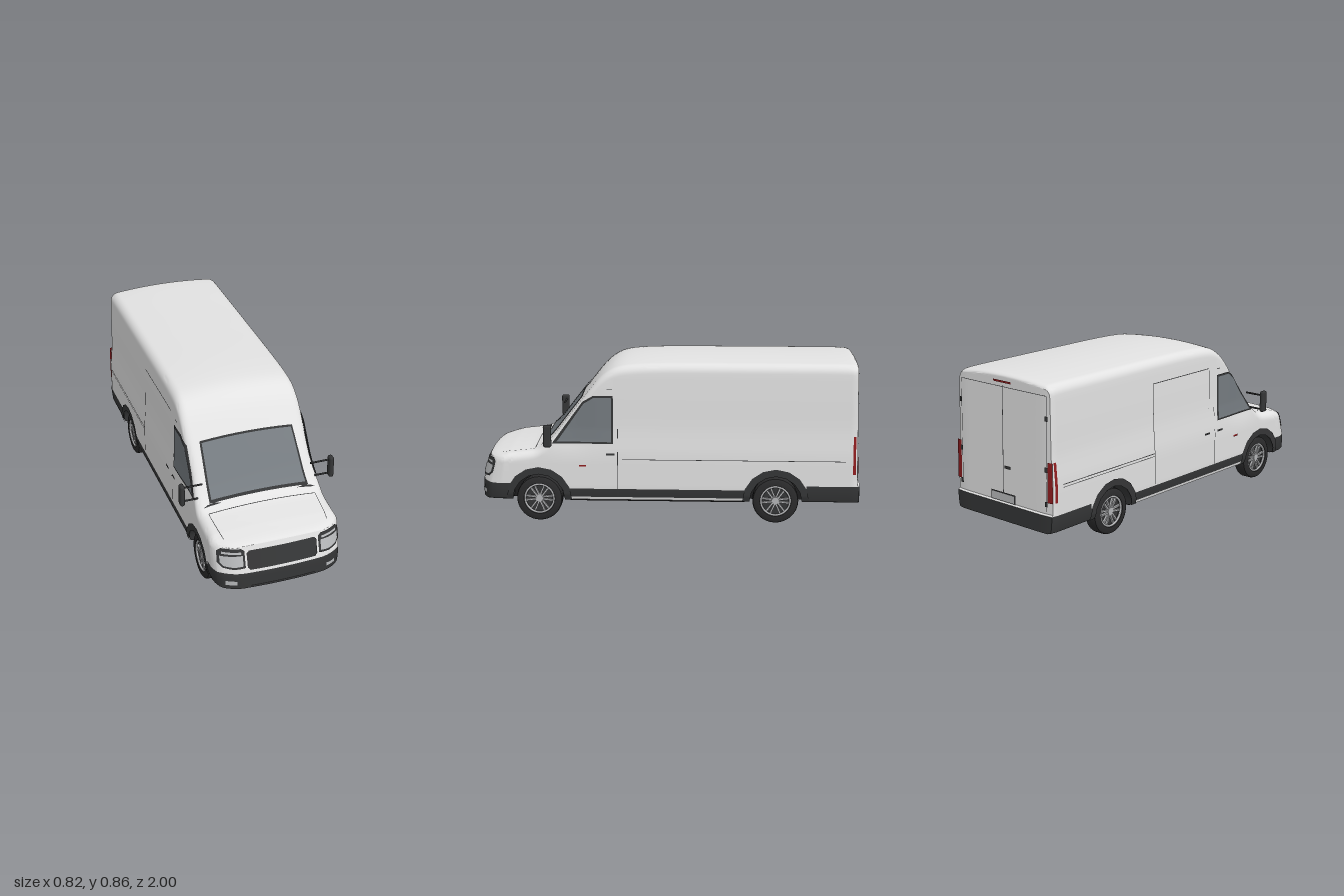
import * as THREE from 'three';
import { toCreasedNormals } from 'three/addons/utils/BufferGeometryUtils.js';
import { RoundedBoxGeometry } from 'three/addons/geometries/RoundedBoxGeometry.js';

const mat = (name, color, side = THREE.DoubleSide) => {
  const m = new THREE.MeshStandardMaterial({ color, side });
  m.name = name;
  return m;
};
const paint = mat('body white', 0xe2e2e2, THREE.FrontSide);
const trim = mat('black trim', 0x353637);
const glass = mat('tinted glass', 0x757b80);
const lens = mat('lamp lens', 0xb8babc);
const red = mat('red lamp', 0x8e1c1e);
const rubber = mat('tyre rubber', 0x2b2b2c);
const alloy = mat('wheel alloy', 0xb4b5b7);
const under = mat('underbody', 0x1d1d1e);

const WHEELS = [0.68, -0.56], AXLE = 0.12, ARCH = 0.145;
const clamp = THREE.MathUtils.clamp;
const lerp = (pts, v) => {
  // piecewise linear lookup, first column descending
  if (v >= pts[0][0]) return pts[0][1];
  for (let i = 1; i < pts.length; i++) {
    const [a, p] = pts[i - 1], [b, q] = pts[i];
    if (v >= b) return p + (q - p) * (a - v) / Math.max(1e-9, a - b);
  }
  return pts[pts.length - 1][1];
};

// Centre-line height of bonnet, windscreen and roof
const ROOF = new THREE.SplineCurve([
  [1, 0.343], [0.985, 0.35], [0.95, 0.358], [0.88, 0.368], [0.78, 0.382], [0.7, 0.396], [0.655, 0.42],
  [0.6, 0.475], [0.53, 0.565], [0.455, 0.66], [0.38, 0.755], [0.33, 0.803], [0.27, 0.835], [0.18, 0.85],
  [0, 0.857], [-0.3, 0.858], [-0.6, 0.858], [-0.8, 0.858], [-0.9, 0.857], [-0.96, 0.854], [-0.985, 0.848], [-1, 0.838],
].map(p => new THREE.Vector2(...p))).getPoints(200).map(p => [p.x, p.y]);
const topZ = z => lerp(ROOF, z);
const crown = z => lerp([[1, 0.008], [0.7, 0.015]], z);
const radius = z => lerp([[1, 0.03], [0.8, 0.045], [0.4, 0.045], [0.2, 0.05], [-0.97, 0.05], [-1, 0.035]], z);
const shoulder = z => topZ(z) - crown(z) - radius(z);
const wide = z => lerp([[1, 0.321], [0.97, 0.332], [0.92, 0.338], [-0.96, 0.338], [-1, 0.332]], z);
const flank = (y, z) => wide(z)
  - lerp([[0.85, 0.02], [0.66, 0.014], [0.5, 0.012], [0.36, 0], [0.15, 0], [0.11, 0.012]], y)
  - 0.008 * Math.exp(-(((z - 0.52) / 0.12) ** 2)) * clamp((y - 0.36) / 0.08, 0, 1);
const sideX = (y, z) => {
  const s = shoulder(z), r = radius(z);
  if (y <= s) return flank(y, z);
  return flank(s, z) - r + Math.sqrt(Math.max(0, r * r - (y - s) ** 2));
};
const topY = (x, z) => topZ(z) - crown(z) * (x / (flank(shoulder(z), z) - radius(z))) ** 2;

// Rounds the nose and tail in plan and leans them back
const bend = (x, y, z) => {
  const ax = Math.abs(x);
  if (z > 0.84) z -= (z - 0.84) / 0.16 * (0.2 * x * x + 3 * Math.max(0, ax - 0.2) ** 2 + 0.3 * Math.max(0, y - 0.2));
  if (z < -0.95) z += (-z - 0.95) / 0.05 * ((y > 0.208 ? 0.01 : 0) + 0.02 * Math.max(0, y - 0.2) + Math.max(0, ax - 0.25) ** 2);
  return [x, y, z];
};
const onSide = (s, e = 0.005) => (z, y) => {
  const p = bend(sideX(y, z), y, z);
  return [s * (p[0] + e), p[1], p[2]];
};
const onTop = (e = 0.005) => (x, z) => bend(x, topY(x, z) + e, z);
const onFront = (e = 0.004) => (x, y) => { const p = bend(x, y, 1); p[2] += e; return p; };
const onRear = (e = 0.004) => (x, y) => { const p = bend(x, y, -1); p[2] -= e; return p; };

// Half outline of the body at z, from bottom centre to roof centre
const LEVELS = [0.12, 0.135, 0.18, 0.205, 0.212, 0.26, 0.31, 0.36, 0.4, 0.44, 0.48, 0.52, 0.58, 0.64, 0.7, 0.76, 0.85];
function halfSection(z) {
  let yb = 0.115;
  for (const c of WHEELS) {
    const d = ARCH * ARCH - (z - c) ** 2;
    if (d > 0) yb = Math.max(yb, AXLE + Math.sqrt(d));
  }
  const s = shoulder(z), r = radius(z), xs = flank(s, z), xe = xs - r;
  const pts = [[0, yb], [0.12, yb], [flank(yb, z) - 0.015, yb]];
  for (const l of LEVELS) { const y = clamp(l, yb, s); pts.push([flank(y, z), y]); }
  for (let k = 1; k <= 7; k++) {
    const a = k / 7 * Math.PI / 2;
    pts.push([xe + r * Math.cos(a), s + r * Math.sin(a)]);
  }
  for (let k = 7; k >= 0; k--) pts.push([xe * k / 8, topY(xe * k / 8, z)]);
  return pts;
}

function bodyShell() {
  let zs = [0.83, -0.72, 0.99, 0.995, -0.99];
  for (let i = 0; i <= 100; i++) zs.push(-1 + i * 0.02);
  for (const c of WHEELS) for (let k = 0; k <= 20; k++) zs.push(c + ARCH * Math.cos(k * Math.PI / 20));
  zs = zs.sort((a, b) => a - b).filter((z, i, all) => i === 0 || z - all[i - 1] > 1e-4);
  const pos = [], light = [], dark = [];
  const isDark = (y, z) => (z > 0.83 && y < 0.205) || (z < -0.72 && y < 0.208) || y < 0.12 || (y > 0.135 && y < 0.18);
  const grid = (rows, flip, rule) => {
    const base = pos.length / 3, n = rows[0].length;
    rows.forEach(r => r.forEach(p => pos.push(...p)));
    for (let j = 0; j + 1 < rows.length; j++) for (let i = 0; i + 1 < n; i++) {
      const a = base + j * n + i, b = a + 1, d = a + n, c = d + 1;
      const y = (rows[j][i][1] + rows[j + 1][i + 1][1]) / 2, z = (rows[j][i][2] + rows[j + 1][i + 1][2]) / 2;
      (rule(i, y, z) ? dark : light).push(...(flip ? [a, c, b, a, d, c] : [a, b, c, a, c, d]));
    }
  };
  const rings = zs.map(z => {
    const h = halfSection(z);
    return [...h, ...h.slice(0, -1).reverse().map(([x, y]) => [-x, y])].map(([x, y]) => bend(x, y, z));
  });
  const n = rings[0].length;
  grid(rings, false, (i, y, z) => i < 3 || i >= n - 4 || isDark(y, z));
  for (const z of [1, -1]) {
    const rows = halfSection(z).map(([x, y]) => Array.from({ length: 25 }, (_, k) => bend(x * (k / 12 - 1), y, z)));
    grid(rows, z < 0, (i, y) => isDark(y, z));
  }
  const g = new THREE.BufferGeometry();
  g.setAttribute('position', new THREE.Float32BufferAttribute(pos, 3));
  g.setIndex([...light, ...dark]);
  g.addGroup(0, light.length, 0);
  g.addGroup(light.length, dark.length, 1);
  return toCreasedNormals(g, 0.7);
}

// Thin plate ruled between two polylines and laid on the body
function plate(name, material, lower, upper, project, rows = 8) {
  const fine = line => line.slice(1).flatMap((q, i) => Array.from({ length: 8 }, (_, k) =>
    [0, 1].map(c => line[i][c] + (q[c] - line[i][c]) * k / 8))).concat([line[line.length - 1]]);
  const a = fine(lower), b = fine(upper), n = a.length, pos = [], idx = [];
  for (let j = 0; j <= rows; j++) a.forEach((p, i) =>
    pos.push(...project(...[0, 1].map(c => p[c] + (b[i][c] - p[c]) * j / rows))));
  for (let j = 0; j < rows; j++) for (let i = 0; i + 1 < n; i++) {
    const k = j * n + i;
    idx.push(k, k + 1, k + n + 1, k, k + n + 1, k + n);
  }
  const g = new THREE.BufferGeometry();
  g.setAttribute('position', new THREE.Float32BufferAttribute(pos, 3));
  g.setIndex(idx);
  g.computeVertexNormals();
  const m = new THREE.Mesh(g, material);
  m.name = name;
  return m;
}
const rect = (name, material, u0, v0, u1, v1, project) =>
  plate(name, material, [[u0, v0], [u1, v0]], [[u0, v1], [u1, v1]], project);

function solid(name, geo, material, x = 0, y = 0, z = 0) {
  const m = new THREE.Mesh(geo, material);
  m.name = name;
  m.position.set(x, y, z);
  return m;
}

function wheel(side, z) {
  const g = new THREE.Group();
  g.name = 'wheel';
  const profile = [[0.076, -0.037], [0.108, -0.037], [0.117, -0.031], [0.12, -0.022], [0.12, 0.022], [0.117, 0.031], [0.108, 0.037], [0.082, 0.037], [0.076, 0.015]];
  g.add(solid('tyre', toCreasedNormals(new THREE.LatheGeometry(profile.map(p => new THREE.Vector2(...p)), 40), 0.6), rubber));
  g.add(solid('wheelDish', new THREE.CylinderGeometry(0.079, 0.079, 0.05, 32), trim, 0, -0.008));
  const rim = solid('rim', new THREE.TorusGeometry(0.076, 0.006, 8, 40), alloy, 0, 0.031);
  rim.rotation.x = Math.PI / 2;
  g.add(rim, solid('hub', new THREE.CylinderGeometry(0.02, 0.024, 0.018, 20), alloy, 0, 0.023));
  for (let k = 0; k < 6; k++) {
    const spoke = new THREE.Group();
    spoke.name = 'spoke';
    for (const s of [-1, 1]) {
      const bar = solid('spokeBar', new THREE.BoxGeometry(0.009, 0.012, 0.064), alloy, s * 0.009, 0.023, 0.044);
      bar.rotation.y = s * 0.12;
      spoke.add(bar);
    }
    spoke.rotation.y = k * Math.PI / 3;
    g.add(spoke);
  }
  g.rotation.z = -side * Math.PI / 2;
  g.position.set(side * 0.288, AXLE, z);
  return g;
}

export function createModel() {
  const van = new THREE.Group();
  van.name = 'van';
  van.add(solid('bodyShell', bodyShell(), [paint, trim]));
  van.add(solid('underbody', new THREE.BoxGeometry(0.48, 0.17, 1.86), under, 0, 0.193, 0));
  van.add(solid('floorPan', new THREE.BoxGeometry(0.6, 0.01, 0.92), under, 0, 0.111, 0.06));

  // Windscreen, bonnet seams and grille
  van.add(plate('windscreenFrame', trim, [[-0.265, 0.655], [0.265, 0.655]], [[-0.25, 0.452], [0.25, 0.452]], onTop(0.005), 24));
  van.add(plate('windscreen', glass, [[-0.253, 0.645], [0.253, 0.645]], [[-0.241, 0.461], [0.241, 0.461]], onTop(0.009), 24));
  van.add(rect('bonnetSeam', trim, -0.285, 0.702, 0.285, 0.698, onTop(0.003)));
  van.add(plate('grille', trim, [[-0.183, 0.237], [-0.17, 0.223], [0.17, 0.223], [0.183, 0.237]],
    [[-0.183, 0.308], [-0.17, 0.32], [0.17, 0.32], [0.183, 0.308]], onFront(0.006)));
  van.add(rect('lowerIntake', under, -0.17, 0.128, 0.17, 0.133, onFront()));

  for (const s of [1, -1]) {
    // Front lamps
    const front = e => (x, y) => { const p = onFront(e)(x, y); return [s * p[0], p[1], p[2]]; };
    van.add(plate('headlampHousing', trim, [[0.193, 0.236], [0.25, 0.23], [0.3, 0.236], [0.322, 0.26]],
      [[0.193, 0.322], [0.21, 0.333], [0.3, 0.334], [0.319, 0.318]], front(0.006)));
    van.add(plate('headlampLens', lens, [[0.204, 0.247], [0.25, 0.242], [0.295, 0.246], [0.31, 0.262]],
      [[0.204, 0.3], [0.25, 0.298], [0.295, 0.296], [0.31, 0.296]], front(0.009)));
    van.add(rect('daytimeLamp', lens, 0.21, 0.307, 0.3, 0.318, front(0.009)));
    van.add(rect('fogLamp', lens, 0.235, 0.14, 0.29, 0.164, front(0.005)));
    van.add(plate('wiper', trim, [[s * 0.2, 0.664], [s * 0.3, 0.668]], [[s * 0.24, 0.656], [s * 0.28, 0.66]], onTop(0.007)));
    van.add(plate('bonnetSideSeam', trim, [[s * 0.284, 0.7], [s * 0.27, 0.93]], [[s * 0.287, 0.7], [s * 0.273, 0.93]], onTop(0.002)));

    // Side window and door details
    van.add(plate('sideWindowFrame', trim, [[0.605, 0.422], [0.5, 0.422], [0.39, 0.422], [0.287, 0.422]],
      [[0.6, 0.432], [0.445, 0.642], [0.39, 0.674], [0.287, 0.674]], onSide(s, 0.006), 20));
    van.add(plate('sideWindow', glass, [[0.583, 0.432], [0.5, 0.432], [0.39, 0.432], [0.297, 0.432]],
      [[0.575, 0.44], [0.44, 0.632], [0.388, 0.664], [0.297, 0.664]], onSide(s, 0.01), 20));
    const line = (name, z0, y0, z1, y1, m = trim, e = 0.003) => van.add(rect(name, m, z0, y0, z1, y1, onSide(s, e)));
    line('doorRearSeam', 0.262, 0.14, 0.266, 0.38);
    line('doorRearSeam', 0.262, 0.45, 0.266, 0.5);
    line('doorTopSeam', 0.29, 0.705, 0.32, 0.709);
    line('doorHandle', 0.28, 0.362, 0.325, 0.372, trim, 0.007);
    line('sideMarker', 0.43, 0.3, 0.465, 0.31, red, 0.005);
    line('flankCrease', -0.92, 0.338, s > 0 ? 0.24 : -0.24, 0.341);
    line('tailLampSide', -0.985, 0.27, -0.962, 0.47, red);
    if (s < 0) {
      // Sliding door on one side only
      line('slidingDoorRail', -0.92, 0.352, -0.24, 0.356);
      line('slidingDoorSeam', -0.242, 0.19, -0.238, 0.72);
      line('slidingDoorTop', -0.24, 0.718, 0.22, 0.722);
      line('slidingDoorSeam', 0.22, 0.5, 0.224, 0.72);
      line('slidingDoorHandle', 0.17, 0.362, 0.215, 0.372, trim, 0.007);
    }

    // Wheels and arch flares
    for (const c of WHEELS) {
      const arc = r => Array.from({ length: 9 }, (_, k) => [c + r * Math.cos(k * Math.PI / 8), AXLE + r * Math.sin(k * Math.PI / 8)]);
      van.add(plate('archFlare', trim, arc(0.137), arc(0.175), onSide(s, 0.006), 4));
      van.add(wheel(s, c));
    }

    // Door mirror on two arms
    const mirror = new THREE.Group();
    mirror.name = 'mirror';
    mirror.add(solid('mirrorHousing', new RoundedBoxGeometry(0.025, 0.118, 0.042, 4, 0.011), trim, s * 0.4, 0.475, 0.622));
    for (const y of [0.43, 0.51]) {
      const arm = solid('mirrorArm', new THREE.CylinderGeometry(0.005, 0.005, 0.11, 10), trim, s * 0.345, y, 0.614);
      arm.rotation.z = Math.PI / 2;
      mirror.add(arm);
    }
    van.add(mirror);

    // Rear lamps, hinges and door edges
    van.add(rect('tailLamp', red, s * 0.303, 0.27, s * 0.334, 0.47, onRear(0.005)));
    van.add(rect('rearDoorEdge', trim, s * 0.294, 0.225, s * 0.297, 0.79, onRear(0.003)));
    for (const y of [0.25, 0.42, 0.67]) van.add(rect('rearHinge', trim, s * 0.288, y, s * 0.306, y + 0.025, onRear(0.007)));
  }

  // Rear doors
  van.add(rect('rearDoorSplit', trim, -0.002, 0.22, 0.002, 0.8, onRear(0.003)));
  van.add(rect('rearDoorTop', trim, -0.295, 0.79, 0.295, 0.793, onRear(0.003)));
  van.add(rect('rearHandle', trim, -0.055, 0.385, -0.015, 0.4, onRear(0.007)));
  van.add(rect('plateHolder', trim, -0.085, 0.213, 0.085, 0.26, onRear(0.005)));
  van.add(rect('blankPlate', lens, -0.078, 0.217, 0.078, 0.254, onRear(0.008)));
  van.add(rect('highBrakeLamp', red, -0.06, 0.812, 0.06, 0.822, onRear(0.005)));
  return van;
}
